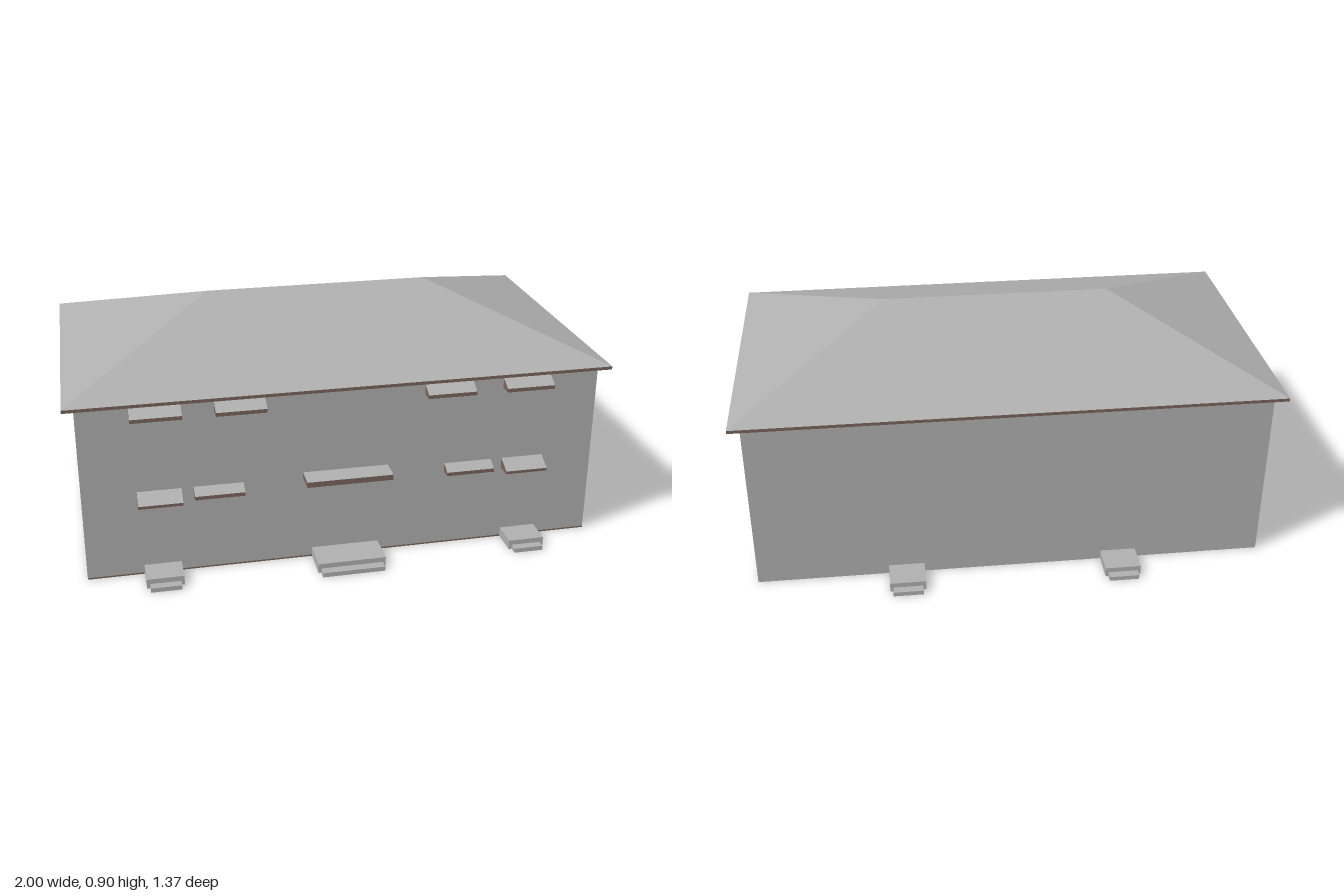
import * as THREE from 'three';

const makeMat = (name, color) => {
  const m = new THREE.MeshStandardMaterial({ color, side: THREE.DoubleSide });
  m.name = name;
  return m;
};

// Flat-shaded mesh from a list of convex polygons, each fanned into triangles
function panels(name, material, polygons) {
  const pos = [];
  for (const p of polygons)
    for (let i = 1; i < p.length - 1; i++) pos.push(...p[0], ...p[i], ...p[i + 1]);
  const g = new THREE.BufferGeometry();
  g.setAttribute('position', new THREE.Float32BufferAttribute(pos, 3));
  g.computeVertexNormals();
  const mesh = new THREE.Mesh(g, material);
  mesh.name = name;
  return mesh;
}

export function createModel() {
  const model = new THREE.Group();
  const grey = makeMat('concrete grey', 0xb0afaf);
  const brown = makeMat('trim brown', 0x78645b);

  const W = 0.96, ZF = 0.525, ZB = -0.543, H = 0.68;

  // Awnings: centre x, half width, bottom, front top, wall top, front z
  const awnings = [];
  for (const s of [-1, 1]) {
    awnings.push(['upperAwning', s * 0.684, 0.091, 0.627, 0.641, 0.665, 0.572]);
    awnings.push(['upperAwning', s * 0.385, 0.091, 0.627, 0.641, 0.665, 0.572]);
    awnings.push(['lowerAwning', s * 0.684, 0.08, 0.298, 0.309, 0.338, 0.584]);
    awnings.push(['lowerAwning', s * 0.47, 0.091, 0.304, 0.318, 0.338, 0.566]);
  }
  awnings.push(['entranceCanopy', 0, 0.16, 0.334, 0.355, 0.355, 0.609]);

  // Steps: centre x, upper half width, lower half width, upper z, lower z
  const frontSteps = [
    [-0.685, 0.068, 0.056, 0.629, 0.66],
    [0, 0.127, 0.117, 0.65, 0.684],
    [0.685, 0.068, 0.056, 0.629, 0.66],
  ];
  const backSteps = [-0.41, 0.402].map((x) => [x, 0.067, 0.056, -0.654, -0.684]);
  const STEP = 0.036, LOW = 0.017;

  // Long wall, notched behind the steps and open behind the awnings
  function longWall(name, z, steps, openings) {
    const s = new THREE.Shape();
    s.moveTo(-W, 0);
    for (const [x, w] of steps) {
      s.lineTo(x - w, 0).lineTo(x - w, STEP).lineTo(x + w, STEP).lineTo(x + w, 0);
    }
    s.lineTo(W, 0).lineTo(W, H).lineTo(-W, H).closePath();
    for (const [, x, w, y0, , y1] of openings) {
      const h = new THREE.Path();
      h.moveTo(x - w, y0).lineTo(x - w, y1).lineTo(x + w, y1).lineTo(x + w, y0).closePath();
      s.holes.push(h);
    }
    const mesh = new THREE.Mesh(new THREE.ShapeGeometry(s), grey);
    if (z < 0) mesh.geometry.rotateY(Math.PI).scale(1, 1, 1);
    mesh.position.z = z;
    mesh.name = name;
    model.add(mesh);
  }
  longWall('frontWall', ZF, frontSteps, awnings);
  // The back wall is turned round, so its notches are mirrored
  longWall('backWall', ZB, backSteps.map(([x, ...r]) => [-x, ...r]).reverse(), []);

  // Side walls and flat ceiling
  model.add(panels('sideWalls', grey, [
    [[W, 0, ZF], [W, 0, ZB], [W, H, ZB], [W, H, ZF]],
    [[-W, 0, ZB], [-W, 0, ZF], [-W, H, ZF], [-W, H, ZB]],
  ]));
  model.add(panels('ceiling', grey, [
    [[-W, H - 0.004, ZB], [W, H - 0.004, ZB], [W, H - 0.004, ZF], [-W, H - 0.004, ZF]],
  ]));

  // Hipped roof
  const E = 0.692, RF = 0.56, RB = -0.584;
  const a = [-1, E, RF], b = [1, E, RF], c = [1, E, RB], d = [-1, E, RB];
  const r0 = [-0.43, 0.896, -0.012], r1 = [0.43, 0.896, -0.012];
  model.add(panels('hippedRoof', grey, [[a, b, r1, r0], [c, d, r0, r1], [b, c, r1], [d, a, r0]]));

  // Eaves: fascia boards and soffit
  const corners = [a, b, c, d];
  const drop = ([x, , z]) => [x, H, z];
  const eaves = corners.map((p, i) => {
    const q = corners[(i + 1) % 4];
    return [drop(p), drop(q), q, p];
  });
  eaves.push([d, c, b, a].reverse().map(drop).reverse());
  model.add(panels('eaves', brown, eaves));

  // Sloped awnings and the flat canopy: brown casing with a grey top
  for (const [name, x, w, y0, yf, yw, z] of awnings) {
    const l = x - w, r = x + w;
    const g = new THREE.Group();
    g.name = name;
    g.add(panels(name + 'Top', grey, [[[l, yf, z], [r, yf, z], [r, yw, ZF], [l, yw, ZF]]]));
    g.add(panels(name + 'Casing', brown, [
      [[l, y0, z], [r, y0, z], [r, yf, z], [l, yf, z]],
      [[l, y0, ZF], [r, y0, ZF], [r, y0, z], [l, y0, z]],
      [[r, y0, z], [r, y0, ZF], [r, yw, ZF], [r, yf, z]],
      [[l, y0, ZF], [l, y0, z], [l, yf, z], [l, yw, ZF]],
    ]));
    model.add(g);
  }

  // One hollow tread: top, front and two ends
  function tread(x, w, h, z0, z1) {
    const l = x - w, r = x + w;
    const faces = [
      [[l, h, z1], [r, h, z1], [r, h, z0], [l, h, z0]],
      [[l, 0, z1], [r, 0, z1], [r, h, z1], [l, h, z1]],
      [[r, 0, z1], [r, 0, z0], [r, h, z0], [r, h, z1]],
      [[l, 0, z0], [l, 0, z1], [l, h, z1], [l, h, z0]],
    ];
    return z1 > z0 ? faces : faces.map((f) => f.reverse());
  }
  const addSteps = (name, list, wall) => {
    for (const [x, w, lw, z1, z2] of list)
      model.add(panels(name, grey, [...tread(x, w, STEP, wall, z1), ...tread(x, lw, LOW, z1, z2)]));
  };
  addSteps('frontSteps', frontSteps, ZF);
  addSteps('backSteps', backSteps, ZB);

  // Thin trim along the foot of the front wall, between the steps
  const ends = [-W, ...frontSteps.flatMap(([x, w]) => [x - w, x + w]), W];
  const trim = [];
  for (let i = 0; i < ends.length; i += 2) {
    const l = ends[i], r = ends[i + 1], z = ZF + 0.002;
    trim.push([[l, 0, z], [r, 0, z], [r, 0.006, z], [l, 0.006, z]]);
  }
  model.add(panels('footTrim', brown, trim));

  return model;
}
